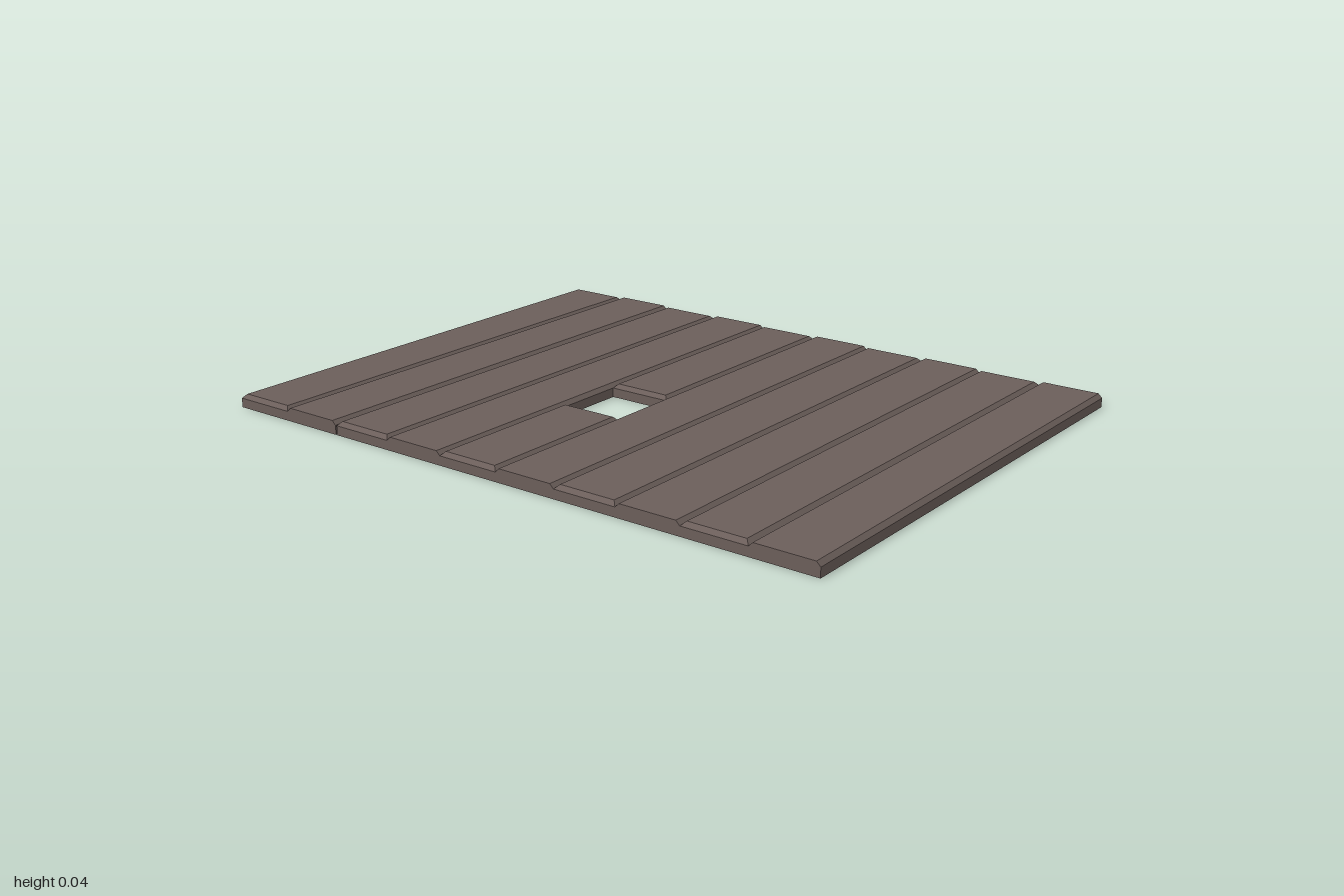
import * as THREE from 'three';

const HALF_WIDTH = 0.76, HEIGHT = 0.04, DEPTH = 0.1995, GAP = 0.005, BEVEL = 0.012;
const HOLE_LEFT = -0.25, HOLE_RIGHT = -0.03;

const wood = new THREE.MeshStandardMaterial({ color: 0x6b5e5a, flatShading: true });

// Plank with bevelled long top edges and, if asked, bevelled end edges
function makePlank(name, x0, x1, z0, bevelEnds) {
  const width = x1 - x0;
  const box = new THREE.BoxGeometry(width, HEIGHT, DEPTH, 1, 2, 1);
  const p = box.attributes.position;
  for (let i = 0; i < p.count; i++) {
    const y = p.getY(i);
    if (Math.abs(y) < 1e-6) {
      p.setY(i, HEIGHT / 2 - BEVEL);
    } else if (y > 0) {
      if (bevelEnds) p.setX(i, p.getX(i) - Math.sign(p.getX(i)) * BEVEL);
      p.setZ(i, p.getZ(i) - Math.sign(p.getZ(i)) * BEVEL);
    }
  }
  const geometry = box.toNonIndexed();
  geometry.computeVertexNormals();
  const mesh = new THREE.Mesh(geometry, wood);
  mesh.name = name;
  mesh.position.set((x0 + x1) / 2, HEIGHT / 2, z0 + DEPTH / 2);
  return mesh;
}

export function createModel() {
  const floor = new THREE.Group();
  floor.name = 'plankFloor';

  // Ten planks from back to front; a narrow gap follows the second
  for (let i = 0; i < 10; i++) {
    const z0 = -1 + i * DEPTH + (i >= 2 ? GAP : 0);
    if (i === 4) {
      // Cut plank, leaving the opening between two short pieces
      floor.add(makePlank('cutPlankRight', -HALF_WIDTH, HOLE_LEFT, z0, true));
      floor.add(makePlank('cutPlankLeft', HOLE_RIGHT, HALF_WIDTH, z0, true));
    } else {
      floor.add(makePlank(`plank${i + 1}`, -HALF_WIDTH, HALF_WIDTH, z0, i % 2 === 0));
    }
  }
  return floor;
}
